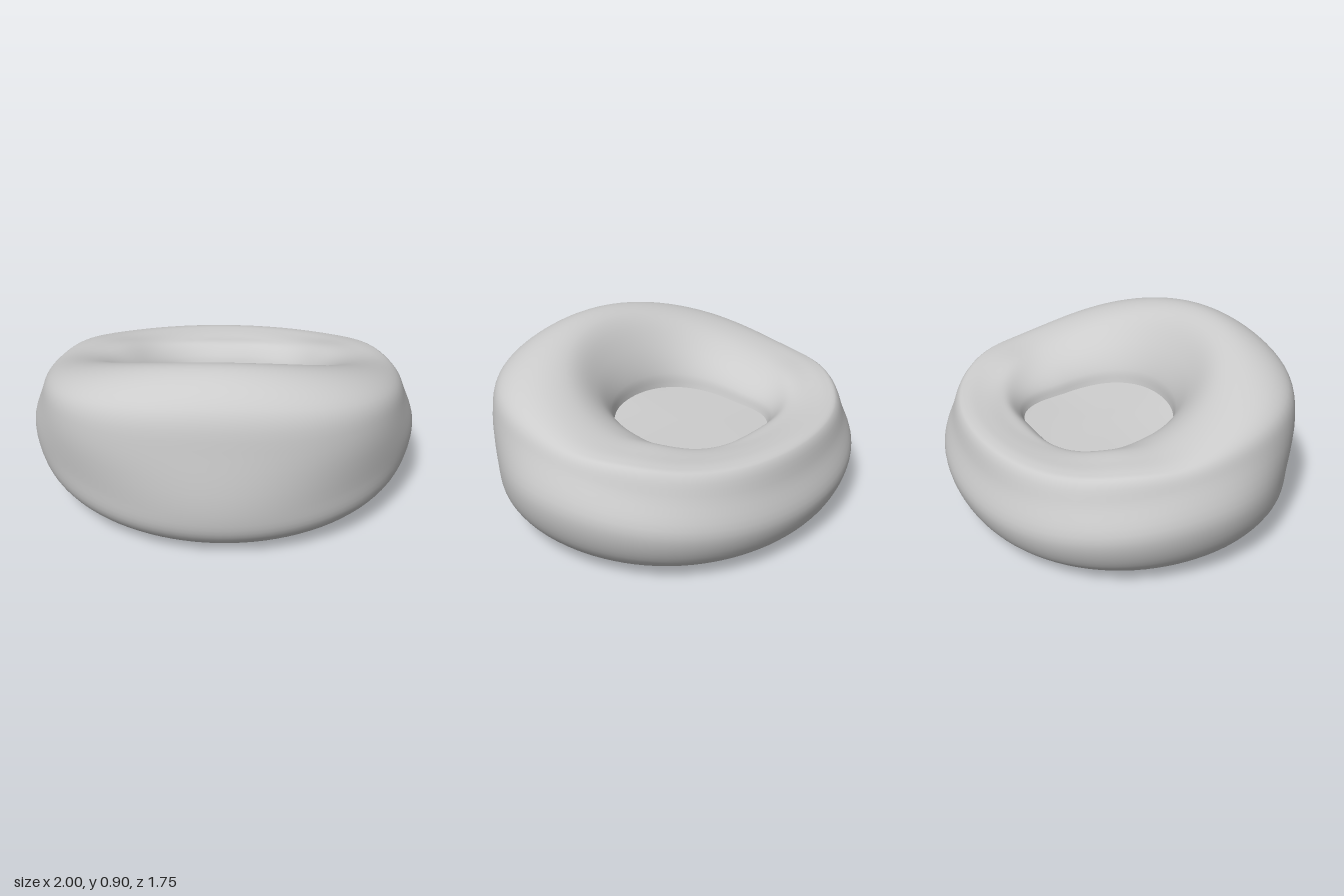
import * as THREE from 'three';

// Cross-section stations from the lower recess, around the outside, to the seat:
// [side x, side y, front z, front y, back z, back y, front diagonal bulge, back diagonal bulge]
const stations = [
  [0.38, 0.20, 0.28, 0.20, -0.44, 0.20, 0, 0],
  [0.42, 0.10, 0.33, 0.10, -0.47, 0.10, 0, 0],
  [0.53, 0.03, 0.44, 0.03, -0.55, 0.03, 0, 0],
  [0.70, 0.00, 0.62, 0.00, -0.66, 0.00, 0, 0],
  [0.85, 0.06, 0.75, 0.04, -0.76, 0.04, 0, 0.02],
  [0.955, 0.18, 0.85, 0.14, -0.83, 0.10, 0, 0.03],
  [1.00, 0.36, 0.877, 0.28, -0.873, 0.23, -0.01, 0.035],
  [0.94, 0.54, 0.855, 0.56, -0.825, 0.39, 0.05, 0.04],
  [0.905, 0.615, 0.815, 0.765, -0.785, 0.52, 0.06, 0.03],
  [0.86, 0.64, 0.715, 0.865, -0.74, 0.54, 0.05, 0.02],
  [0.77, 0.65, 0.59, 0.905, -0.67, 0.54, 0.02, 0.01],
  [0.62, 0.635, 0.48, 0.87, -0.59, 0.53, 0, 0.02],
  [0.48, 0.57, 0.36, 0.72, -0.52, 0.52, 0.02, 0.09],
  [0.40, 0.49, 0.29, 0.57, -0.465, 0.47, 0.04, 0.14],
  [0.38, 0.43, 0.28, 0.49, -0.44, 0.42, 0.04, 0.15],
];

// Position of a station at angle a, measured from the front towards +x
function ringPoint([xs, ys, zf, yf, zb, yb, bulgeF, bulgeB], a) {
  const c = Math.cos(a);
  const k = 1 + (c > 0 ? bulgeF : bulgeB) * Math.sin(2 * a) ** 2;
  let y = ys + (yf - yb) / 2 * c + ((yf + yb) / 2 - ys) * c * c;
  // slight swell of the upper rim just ahead of the low back
  if (xs > 0.6 && ys > 0.6) y += 0.025 * Math.exp(-(((c + 0.52) / 0.26) ** 2));
  return new THREE.Vector3(k * xs * Math.sin(a), y, (zf + zb) / 2 + k * (zf - zb) / 2 * c);
}

const AROUND = 96;
const angle = j => j / AROUND * Math.PI * 2;

function buildGeometry(pos, index) {
  const g = new THREE.BufferGeometry();
  g.setAttribute('position', new THREE.Float32BufferAttribute(pos, 3));
  g.setIndex(index);
  g.computeVertexNormals();
  return g;
}

// Closed ring of smooth cross-sections
function cushionGeometry(along = 70) {
  const pos = [], index = [], row = along + 1;
  for (let j = 0; j < AROUND; j++) {
    const curve = new THREE.CatmullRomCurve3(stations.map(s => ringPoint(s, angle(j))), false, 'centripetal');
    for (let i = 0; i <= along; i++) {
      const p = curve.getPoint(i / along);
      pos.push(p.x, Math.max(p.y, 0), p.z);
      if (i < along) {
        const p0 = j * row + i, p1 = ((j + 1) % AROUND) * row + i;
        index.push(p0, p1, p0 + 1, p1, p1 + 1, p0 + 1);
      }
    }
  }
  return buildGeometry(pos, index);
}

// Fan closing the hole at a station; up chooses the facing
function panelGeometry(station, up) {
  const pos = [0, station[1], (station[2] + station[4]) / 2], index = [];
  for (let j = 0; j < AROUND; j++) {
    pos.push(...ringPoint(station, angle(j)).toArray());
    const a = j + 1, b = (j + 1) % AROUND + 1;
    index.push(0, up ? a : b, up ? b : a);
  }
  return buildGeometry(pos, index);
}

export function createModel() {
  const group = new THREE.Group();
  group.name = 'roundCushion';
  const material = new THREE.MeshStandardMaterial({ color: 0xcccccc, side: THREE.DoubleSide });
  const add = (name, geometry) => {
    const mesh = new THREE.Mesh(geometry, material);
    mesh.name = name;
    group.add(mesh);
  };
  add('cushionRing', cushionGeometry());
  add('seatPanel', panelGeometry(stations[stations.length - 1], true));
  add('undersidePanel', panelGeometry(stations[0], false));
  return group;
}
